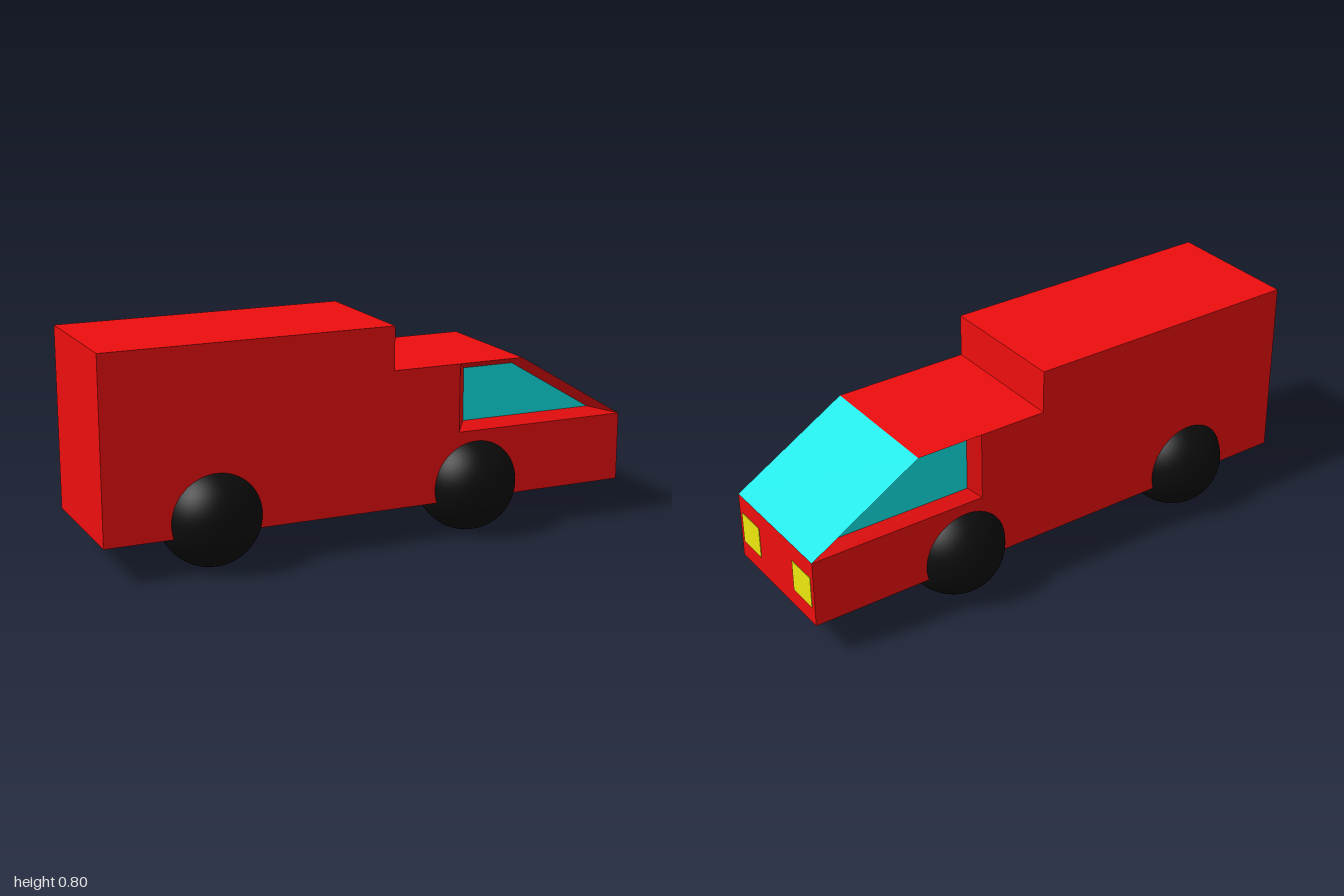
import * as THREE from 'three';

const mat = (color, extra = {}) => new THREE.MeshStandardMaterial({ color, ...extra });

function addMesh(parent, name, geometry, material) {
  const mesh = new THREE.Mesh(geometry, material);
  mesh.name = name;
  parent.add(mesh);
  return mesh;
}

// Flat four-cornered panels, each given as a list of corners
function quads(list) {
  const pos = [];
  for (const [a, b, c, d] of list) pos.push(...a, ...b, ...c, ...a, ...c, ...d);
  const g = new THREE.BufferGeometry();
  g.setAttribute('position', new THREE.Float32BufferAttribute(pos, 3));
  g.computeVertexNormals();
  return g;
}

export function createModel() {
  const van = new THREE.Group();
  van.name = 'van';
  const red = mat(0xee0e0e);
  const redPanel = mat(0xee0e0e, { side: THREE.DoubleSide });
  const glass = mat(0x0ee6e6, { side: THREE.DoubleSide });
  const black = mat(0x0c0c0c);
  const yellow = mat(0xeeea0e);
  const zFront = 0.252, zBack = -0.255, depth = 0.04;

  // Cargo box, bonnet and lower body from one side profile
  const profile = [[-1, 0.136], [1, 0.136], [1, 0.39], [0.328, 0.39], [0.328, 0.641],
    [0.07, 0.641], [0.07, 0.8], [-1, 0.8]];
  const shape = new THREE.Shape(profile.map(([x, y]) => new THREE.Vector2(x, y)));
  const bodyGeo = new THREE.ExtrudeGeometry(shape, { depth: zFront - zBack, bevelEnabled: false });
  bodyGeo.translate(0, 0, zBack);
  addMesh(van, 'body', bodyGeo, red);

  // Cab: opening outline on the side, and the smaller recessed pane outline
  const outer = [[0.328, 0.39], [1, 0.39], [0.58, 0.641], [0.328, 0.641]];
  const inner = [[0.363, 0.42], [0.885, 0.42], [0.56, 0.615], [0.363, 0.615]];
  const across = (i, j) => [[...outer[i], zFront], [...outer[j], zFront],
    [...outer[j], zBack], [...outer[i], zBack]];
  addMesh(van, 'windscreen', quads([across(1, 2)]), glass);
  addMesh(van, 'cabRoof', quads([across(2, 3)]), redPanel);

  // Bevelled window frames and side panes
  for (const [side, zOut, zIn] of [['front', zFront, zFront - depth], ['back', zBack, zBack + depth]]) {
    const frame = outer.map((p, i) => {
      const j = (i + 1) % 4;
      const q = [[...p, zOut], [...outer[j], zOut], [...inner[j], zIn], [...inner[i], zIn]];
      return side === 'front' ? q : q.reverse();
    });
    const pane = inner.map((p) => [...p, zIn]);
    if (side === 'back') pane.reverse();
    addMesh(van, side + 'WindowFrame', quads(frame), redPanel);
    addMesh(van, side + 'Window', quads([pane]), glass);
  }

  // Headlights set almost flush in the nose
  for (const z of [0.174, -0.177]) {
    addMesh(van, 'headlight', new THREE.BoxGeometry(0.01, 0.12, 0.121), yellow)
      .position.set(0.997, 0.262, z);
  }

  // Ball wheels
  const wheelGeo = new THREE.SphereGeometry(0.183, 48, 32);
  for (const x of [-0.597, 0.398]) {
    for (const z of [0.173, -0.173]) {
      addMesh(van, 'wheel', wheelGeo, black).position.set(x, 0.185, z);
    }
  }
  return van;
}
